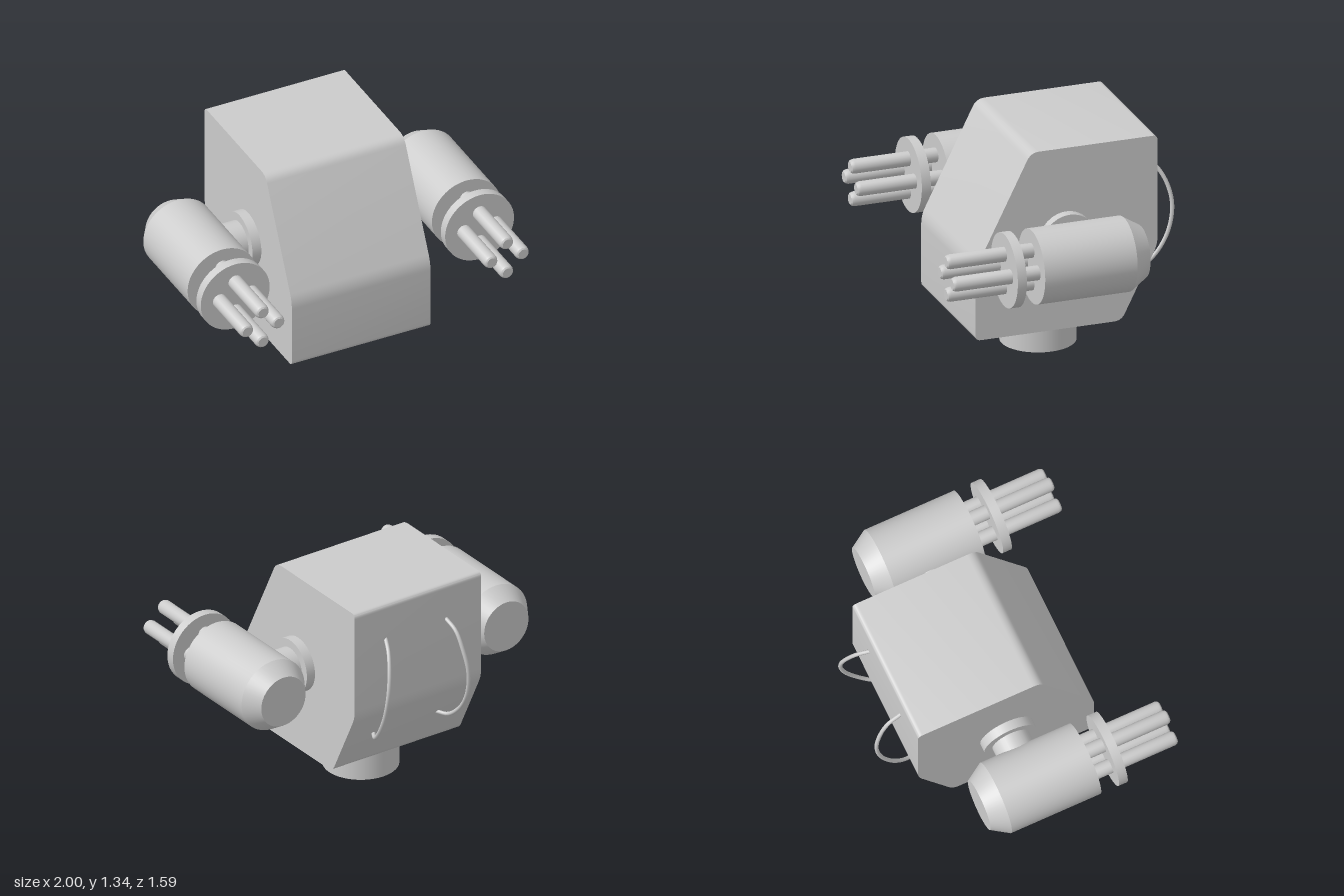
import * as THREE from 'three';
import { toCreasedNormals } from 'three/addons/utils/BufferGeometryUtils.js';

const material = new THREE.MeshStandardMaterial({ color: 0xcccccc });
const openMaterial = new THREE.MeshStandardMaterial({ color: 0xcccccc, side: THREE.DoubleSide });

function add(parent, name, geometry, x = 0, y = 0, z = 0, mat = material) {
  const mesh = new THREE.Mesh(geometry, mat);
  mesh.name = name;
  mesh.position.set(x, y, z);
  parent.add(mesh);
  return mesh;
}

// Solid of revolution along z from [radius, z] pairs, back to front
function turned(points, segments) {
  const lathe = new THREE.LatheGeometry(points.map(p => new THREE.Vector2(...p)), segments);
  return toCreasedNormals(lathe.rotateX(Math.PI / 2), 0.5);
}

// Closed outline from [x, y, corner rounding] entries
function roundedOutline(corners) {
  const shape = new THREE.Shape();
  const n = corners.length;
  corners.forEach(([x, y, r], i) => {
    const p = new THREE.Vector2(x, y);
    const toward = ([qx, qy]) => new THREE.Vector2(qx, qy).sub(p).setLength(r).add(p);
    const a = toward(corners[(i + n - 1) % n]);
    const b = toward(corners[(i + 1) % n]);
    if (i === 0) shape.moveTo(a.x, a.y);
    else shape.lineTo(a.x, a.y);
    shape.quadraticCurveTo(x, y, b.x, b.y);
  });
  shape.closePath();
  return shape;
}

function makeArm(side) {
  const arm = new THREE.Group();
  arm.name = side > 0 ? 'leftArm' : 'rightArm';

  // Shoulder disc and axle
  const disc = new THREE.CylinderGeometry(0.165, 0.165, 0.08, 40).rotateZ(Math.PI / 2);
  add(arm, 'shoulderDisc', disc, side * 0.459, 0.78, -0.064);
  const axle = new THREE.CylinderGeometry(0.115, 0.115, 0.18, 32).rotateZ(Math.PI / 2);
  add(arm, 'shoulderAxle', axle, side * 0.56, 0.78, -0.064);

  // Gun housing with tapered rear, and the plate holding the barrels
  const gun = new THREE.Group();
  gun.name = 'gun';
  gun.position.set(side * 0.78, 0.78, 0);
  arm.add(gun);
  add(gun, 'housing', turned([[0, -0.393], [0.155, -0.393], [0.22, -0.29], [0.22, 0.273], [0, 0.273]], 48));
  add(gun, 'barrelPlate', turned([[0, 0.385], [0.22, 0.385], [0.22, 0.44], [0, 0.44]], 48));

  // Four barrels in a cross
  const barrel = turned([[0, 0.26], [0.043, 0.26], [0.043, 0.775], [0.038, 0.79], [0.03, 0.797], [0, 0.797]], 20);
  for (let i = 0; i < 4; i++) {
    const a = i * Math.PI / 2;
    add(gun, 'barrel', barrel, 0.1 * Math.cos(a), 0.1 * Math.sin(a), 0);
  }
  return arm;
}

// Bowed cable with ball ends
function makeCable(points) {
  const cable = new THREE.Group();
  cable.name = 'backCable';
  const path = points.map(p => new THREE.Vector3(...p));
  add(cable, 'cable', new THREE.TubeGeometry(new THREE.CatmullRomCurve3(path), 40, 0.012, 8));
  for (const end of [path[0], path[path.length - 1]]) {
    add(cable, 'cableEnd', new THREE.SphereGeometry(0.012, 8, 6), end.x, end.y, end.z);
  }
  return cable;
}

export function createModel() {
  const model = new THREE.Group();
  model.name = 'twinGunHead';

  // Head: side outline (z, y) extruded across x
  const outline = roundedOutline([
    [0.488, 0.226, 0.03], [0.488, 0.665, 0.05], [0.152, 1.335, 0.05],
    [-0.62, 1.335, 0.03], [-0.62, 0.665, 0.05], [-0.4, 0.226, 0.045],
  ].reverse());
  const head = new THREE.ExtrudeGeometry(outline, { depth: 0.885, bevelEnabled: false, curveSegments: 6 });
  head.translate(0, 0, -0.4425).rotateY(-Math.PI / 2);
  add(model, 'head', toCreasedNormals(head, 0.6));

  // Open neck tube
  const neck = new THREE.CylinderGeometry(0.221, 0.221, 0.24, 48, 1, true);
  add(model, 'neck', neck, 0, 0.12, -0.057, openMaterial);

  for (const side of [1, -1]) model.add(makeArm(side));

  // Cables bowing out from the back
  model.add(makeCable([
    [-0.2, 1.11, -0.615], [-0.208, 1.065, -0.7], [-0.218, 0.96, -0.757], [-0.235, 0.83, -0.785],
    [-0.25, 0.67, -0.752], [-0.257, 0.535, -0.665], [-0.24, 0.462, -0.575], [-0.205, 0.462, -0.51],
  ]));
  model.add(makeCable([
    [0.222, 1.11, -0.615], [0.252, 1.06, -0.685], [0.285, 0.955, -0.74], [0.307, 0.83, -0.76],
    [0.312, 0.675, -0.73], [0.298, 0.54, -0.655], [0.27, 0.466, -0.575], [0.235, 0.462, -0.51],
  ]));
  return model;
}
